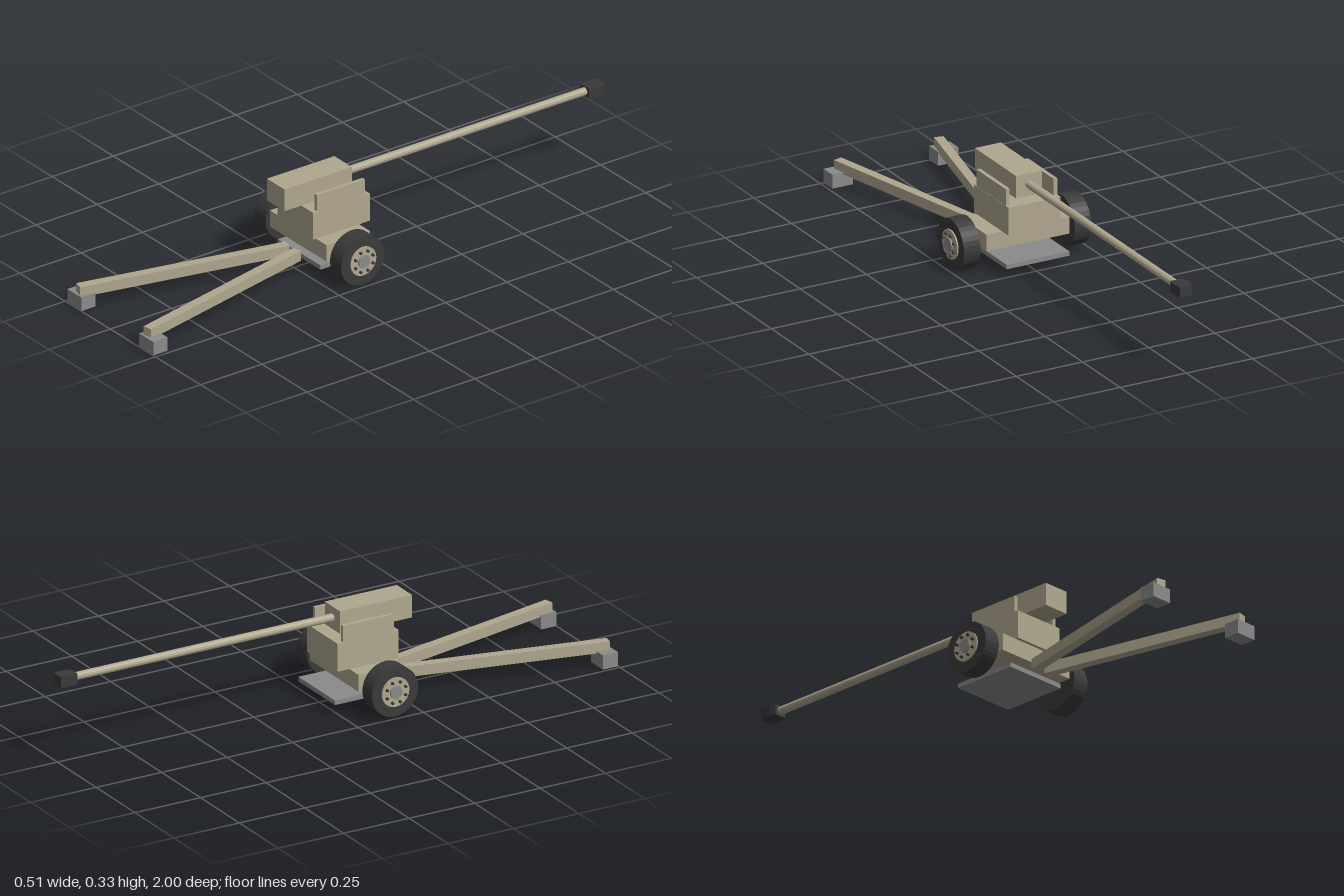
import * as THREE from 'three';

const paint = (color) => new THREE.MeshStandardMaterial({ color, flatShading: true });

export function createModel() {
  const model = new THREE.Group();
  model.name = 'fieldGun';
  const tan = paint(0xb0a78f), steel = paint(0x8a8a8a), dark = paint(0x3a3a3a);

  const add = (name, geometry, material, x = 0, y = 0, z = 0, parent = model) => {
    const mesh = new THREE.Mesh(geometry, material);
    mesh.name = name;
    mesh.position.set(x, y, z);
    parent.add(mesh);
    return mesh;
  };

  // Box given by its limits on each axis
  const block = (name, material, [x0, x1], [y0, y1], [z0, z1]) =>
    add(name, new THREE.BoxGeometry(x1 - x0, y1 - y0, z1 - z0), material,
      (x0 + x1) / 2, (y0 + y1) / 2, (z0 + z1) / 2);

  // Carriage and breech
  block('lowerCarriage', tan, [-0.157, 0.157], [0.081, 0.141], [0.057, 0.233]);
  block('upperCarriage', tan, [-0.098, 0.098], [0.141, 0.24], [0.012, 0.245]);
  block('breech', tan, [-0.049, 0.049], [0.25, 0.33], [0.05, 0.325]);
  block('basePlate', steel, [-0.118, 0.118], [0.034, 0.05], [-0.01, 0.23]);

  // Barrel
  const barrel = add('barrel', new THREE.CylinderGeometry(0.014, 0.014, 1.0, 12), tan, 0, 0.291, -0.44);
  barrel.rotation.x = Math.PI / 2;

  // Muzzle brake: a block with slightly bulging sides
  const plan = new THREE.Shape([
    [-0.023, -0.032], [0.023, -0.032], [0.027, -0.012], [0.027, 0.012],
    [0.023, 0.032], [-0.023, 0.032], [-0.027, 0.012], [-0.027, -0.012],
  ].map(([x, z]) => new THREE.Vector2(x, z)));
  const brake = new THREE.ExtrudeGeometry(plan, { depth: 0.037, bevelEnabled: false });
  brake.rotateX(-Math.PI / 2);
  add('muzzleBrake', brake, dark, 0, 0.272, -0.968);

  // Disc whose axis runs along x
  const disc = (name, radius, x0, x1, sides, material, parent, y = 0, z = 0) => {
    const geometry = new THREE.CylinderGeometry(radius, radius, x1 - x0, sides);
    geometry.rotateZ(Math.PI / 2);
    return add(name, geometry, material, (x0 + x1) / 2, y, z, parent);
  };

  for (const side of [-1, 1]) {
    const label = side > 0 ? 'left' : 'right';

    // Cradle cheek
    block(label + 'Cheek', tan, [side * 0.09 - 0.007, side * 0.09 + 0.007], [0.24, 0.299], [0.033, 0.228]);

    // Wheel with hub and bolts, turned round for the right side
    const wheel = new THREE.Group();
    wheel.name = label + 'Wheel';
    wheel.position.set(0, 0.092, 0.147);
    disc('tyre', 0.088, 0.178, 0.24, 32, dark, wheel);
    disc('rim', 0.052, 0.24, 0.245, 24, tan, wheel);
    disc('hub', 0.023, 0.245, 0.251, 16, steel, wheel);
    for (let i = 0; i < 8; i++) {
      const a = (i * Math.PI) / 4 + Math.PI / 8;
      disc('bolt', 0.005, 0.245, 0.253, 6, dark, wheel, Math.sin(a) * 0.038, Math.cos(a) * 0.038);
    }
    if (side < 0) wheel.rotation.y = Math.PI;
    model.add(wheel);

    // Splayed trail leg and its foot
    const near = new THREE.Vector2(side * 0.026, 0.257), far = new THREE.Vector2(side * 0.191, 0.99);
    const mid = near.clone().add(far).multiplyScalar(0.5);
    const leg = add(label + 'Trail', new THREE.BoxGeometry(0.033, 0.037, near.distanceTo(far)), tan, mid.x, 0.0615, mid.y);
    leg.rotation.y = Math.atan2(far.x - near.x, far.y - near.y);
    block(label + 'Foot', steel, [side * 0.199 - 0.039, side * 0.199 + 0.039], [0, 0.05], [0.942, 1.0]);
  }
  return model;
}
